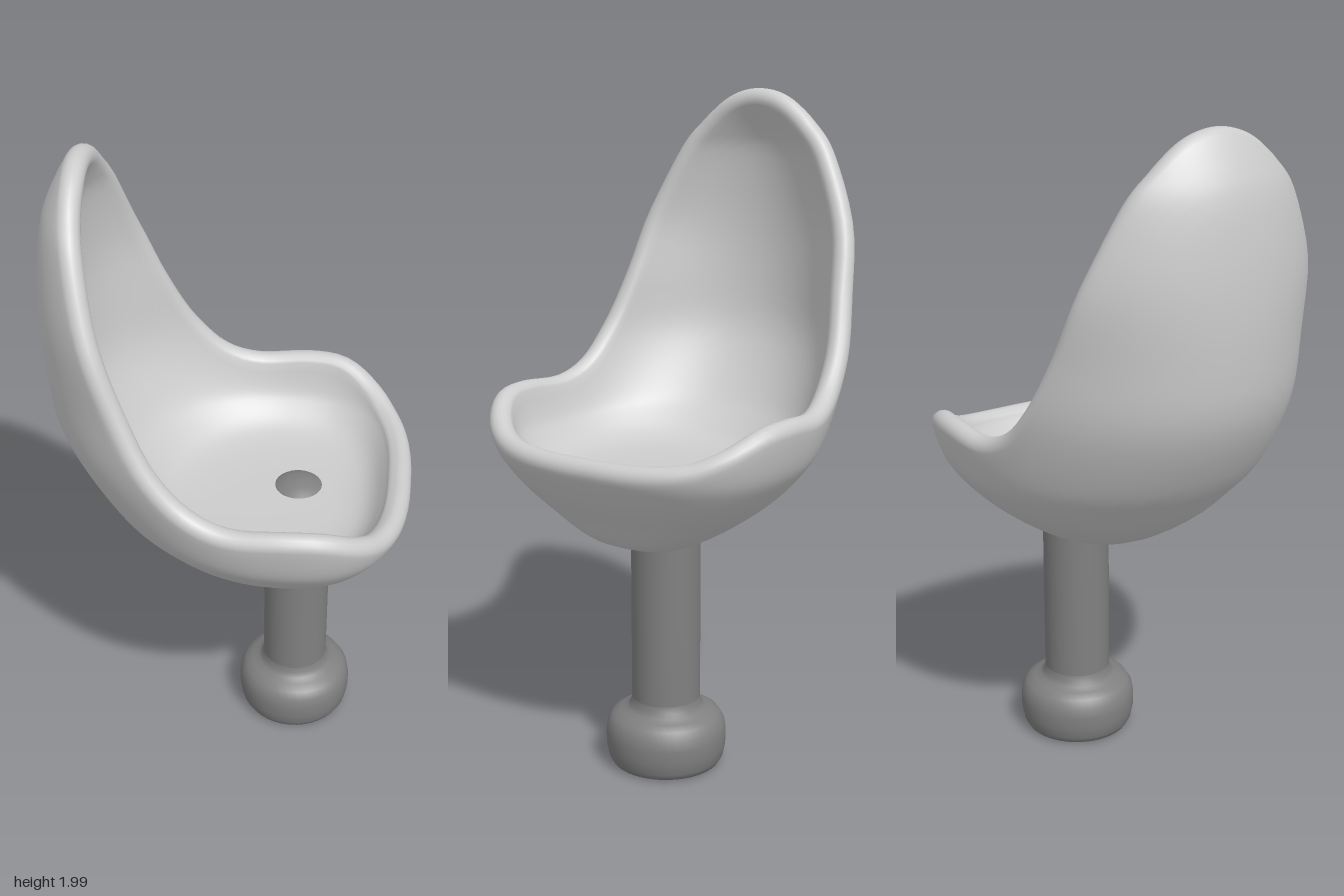
import * as THREE from 'three';
import { mergeVertices } from 'three/addons/utils/BufferGeometryUtils.js';

const V2 = (a, b) => new THREE.Vector2(a, b);
const CENTRE = 0.1;   // bowl axis, measured along the facing direction
const LIP = 0.034;    // half the shell thickness
const FLOOR = 0.885;  // height of the padded seat floor

// Horizontal sections of the shell, bottom to top: height, back reach, half width, front reach
const sections = [
  [0.665, 0, 0, 0], [0.7, 0.18, 0.16, 0.18], [0.8, 0.35, 0.32, 0.275], [0.9, 0.455, 0.425, 0.35],
  [1.0, 0.545, 0.48, 0.395], [1.2, 0.655, 0.52, 0.42], [1.4, 0.685, 0.53, 0.42], [1.6, 0.69, 0.545, 0.42],
  [1.8, 0.67, 0.495, 0.42], [1.9, 0.635, 0.45, 0.42], [2.0, 0.58, 0.41, 0.42],
];
const heightBack = new THREE.SplineCurve(sections.map(r => V2(r[0], r[1])));
const widthFront = new THREE.SplineCurve(sections.map(r => V2(r[2], r[3])));

// Rim: angle from the back in degrees, and the section index it reaches
const rimHalf = [
  [0, 9.7], [8, 9.62], [15.5, 9.4], [22, 9.05], [27, 8.6], [32, 8], [41, 7], [49.5, 6], [58, 5.1],
  [66, 4.6], [78, 4.38], [95, 4.42], [112, 4.38], [128, 4.1], [141, 3.83], [158, 3.68], [180, 3.65],
];
const rimCurve = new THREE.SplineCurve([
  ...rimHalf.slice(1).reverse().map(([a, s]) => V2(-a, s)),
  ...rimHalf.map(([a, s]) => V2(a, s)),
]);

// Point on the outer shell; the seat faces diagonally, towards +x and -z
function outer(deg, s) {
  const t = THREE.MathUtils.clamp(s / 10, 0, 1);
  const hb = heightBack.getPoint(t), wf = widthFront.getPoint(t);
  const a = THREE.MathUtils.degToRad(deg), c = Math.cos(a), sn = Math.sin(a);
  const n = c > 0 ? 2 : 2.7; // squarer towards the front
  const k = Math.pow(Math.abs(c) ** n + Math.abs(sn) ** n, -1 / n);
  const u = CENTRE - (c > 0 ? hb.y : wf.y) * c * k;
  const v = wf.x * sn * k;
  return new THREE.Vector3((u + v) * Math.SQRT1_2, hb.x, (v - u) * Math.SQRT1_2);
}

function outerNormal(deg, s) {
  if (s < 0.01) return new THREE.Vector3(0, -1, 0);
  const across = outer(deg + 0.5, s).sub(outer(deg - 0.5, s));
  const up = outer(deg, s + 0.01).sub(outer(deg, s - 0.01));
  return across.cross(up).normalize();
}

// Point on the inside: the wall is an even offset that flattens out into the seat floor
function inner(deg, s) {
  const p = outer(deg, s).addScaledVector(outerNormal(deg, s), -2 * LIP);
  p.y = (p.y + FLOOR + Math.hypot(p.y - FLOOR, 0.06)) / 2;
  return p;
}

// One strip of the shell: up the outside, over the rounded lip, down the inside
function strip(t) {
  const ROWS = 28, ARC = 8;
  const at = q => rimCurve.getPoint(THREE.MathUtils.clamp(q, 0, 1));
  const { x: deg, y: top } = at(t);
  const pts = [];
  for (let i = 0; i <= ROWS; i++) pts.push(outer(deg, top * i / ROWS));

  const n = outerNormal(deg, top);
  const p0 = at(t - 0.004), p1 = at(t + 0.004);
  const along = outer(p1.x, p1.y).sub(outer(p0.x, p0.y)).normalize();
  const out = n.clone().cross(along).normalize();
  const mid = outer(deg, top).addScaledVector(n, -LIP);
  for (let i = 1; i < ARC; i++) {
    const a = Math.PI * i / ARC;
    pts.push(mid.clone().addScaledVector(n, LIP * Math.cos(a)).addScaledVector(out, LIP * Math.sin(a)));
  }

  for (let i = ROWS; i >= 0; i--) pts.push(inner(deg, top * i / ROWS));
  return pts;
}

function shellGeometry() {
  const COLS = 128, pos = [], idx = [];
  let rows = 0;
  for (let i = 0; i < COLS; i++) {
    const pts = strip(i / COLS);
    rows = pts.length;
    pts.forEach(p => pos.push(p.x, p.y, p.z));
  }
  for (let i = 0; i < COLS; i++) {
    for (let j = 0; j < rows - 1; j++) {
      const a = i * rows + j, b = ((i + 1) % COLS) * rows + j;
      idx.push(a, b, a + 1, b, b + 1, a + 1);
    }
  }
  const g = new THREE.BufferGeometry();
  g.setAttribute('position', new THREE.Float32BufferAttribute(pos, 3));
  g.setIndex(idx);
  const merged = mergeVertices(g, 1e-5);
  merged.computeVertexNormals();
  return merged;
}

export function createModel() {
  const model = new THREE.Group();
  model.name = 'pedestalChair';

  const shellGrey = new THREE.MeshStandardMaterial({ color: 0xcccccc });
  shellGrey.name = 'light grey';
  const pedestalGrey = new THREE.MeshStandardMaterial({ color: 0x808080 });
  pedestalGrey.name = 'dark grey';

  const add = (name, geometry, material) => {
    const mesh = new THREE.Mesh(geometry, material);
    mesh.name = name;
    model.add(mesh);
    return mesh;
  };

  // Egg-shaped seat with a high back
  add('seatShell', shellGeometry(), shellGrey);

  // Column, its domed tip just showing through the seat floor
  const column = [[0.103, 0.2], [0.103, 0.82], [0.098, 0.855], [0.085, 0.88], [0.065, 0.897], [0.035, 0.907], [0, 0.911]];
  // Rounded foot with a small fillet up to the column
  const foot = [[0, 0], [0.145, 0], [0.163, 0.006], [0.174, 0.025], [0.181, 0.06], [0.182, 0.1],
    [0.177, 0.13], [0.162, 0.155], [0.138, 0.168], [0.118, 0.177], [0.107, 0.19], [0.103, 0.21]];
  for (const [name, profile] of [['column', column], ['foot', foot]]) {
    const g = new THREE.LatheGeometry(profile.map(([r, y]) => V2(r, y)), 40);
    add(name, g, pedestalGrey).position.set(0.058, 0, -0.145);
  }
  return model;
}
